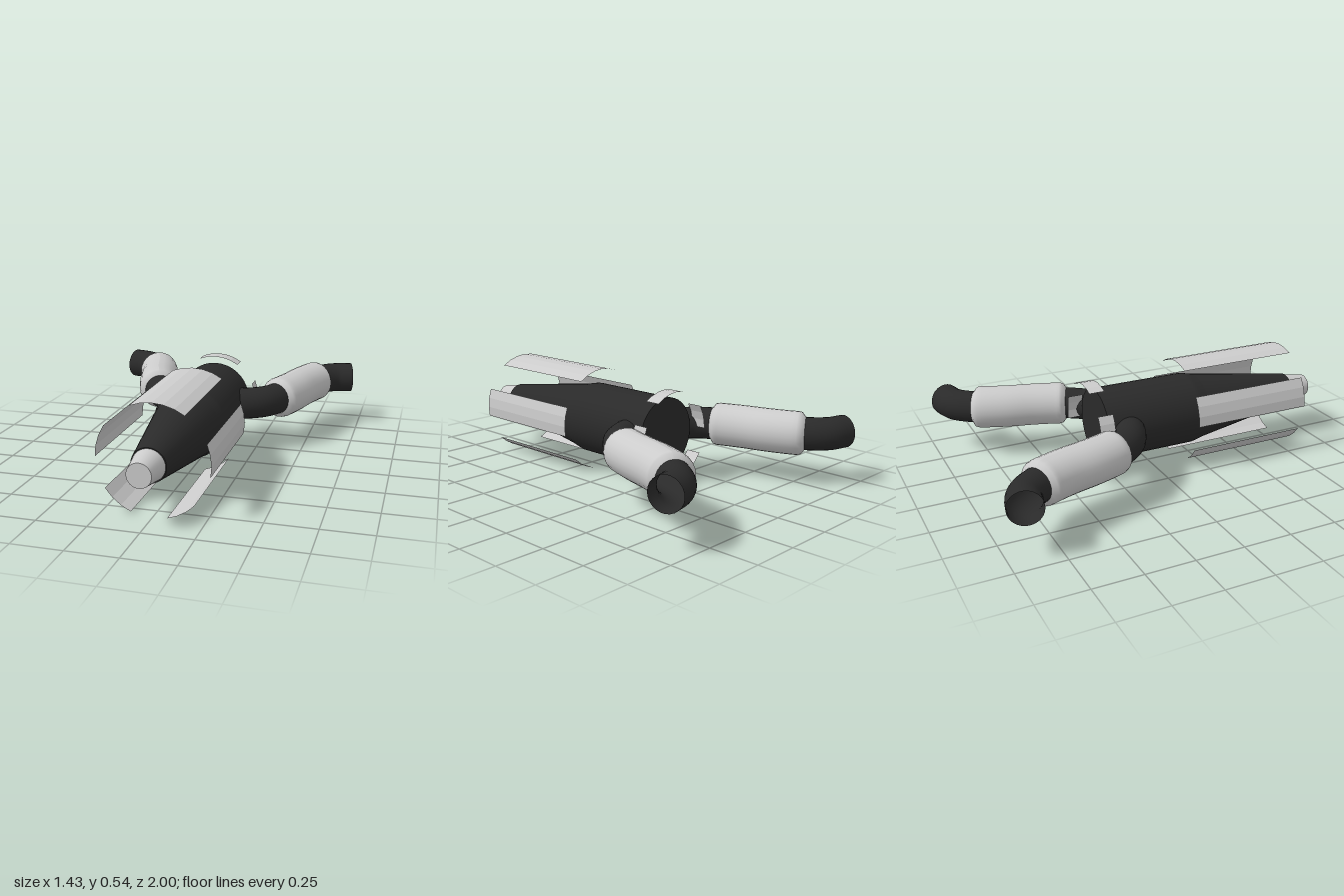
import * as THREE from 'three';

const AXIS_Y = 0.27;
const grey = new THREE.MeshStandardMaterial({ color: 0xcccccc });
const greySheet = new THREE.MeshStandardMaterial({ color: 0xcccccc, side: THREE.DoubleSide, flatShading: true });
const dark = new THREE.MeshStandardMaterial({ color: 0x2a2a2a });
const darkPipe = new THREE.MeshStandardMaterial({ color: 0x2a2a2a, side: THREE.DoubleSide });

function mesh(name, geometry, material) {
  const m = new THREE.Mesh(geometry, material);
  m.name = name;
  return m;
}

// Solid of revolution along z; profile is [radius, z], doubled points keep edges sharp
function turned(profile) {
  const g = new THREE.LatheGeometry(profile.map(([r, z]) => new THREE.Vector2(r, z)), 36);
  return g.rotateX(Math.PI / 2);
}

// Curved thin sheet around the body axis, angles in degrees from +x towards +y
function sheet(radius, z0, z1, a0, a1) {
  const steps = Math.max(3, Math.round((a1 - a0) / 11));
  const g = new THREE.PlaneGeometry(1, 1, steps, 1);
  const p = g.attributes.position;
  for (let i = 0; i < p.count; i++) {
    const a = THREE.MathUtils.degToRad(a1 + (a0 - a1) * (p.getX(i) + 0.5));
    const z = p.getY(i) > 0 ? z0 : z1;
    p.setXYZ(i, radius * Math.cos(a), radius * Math.sin(a), z);
  }
  g.computeVertexNormals();
  return g;
}

// Broken ring of sheets: one wide piece on top, four narrow ones around
const SPANS = [[-10.5, 22.4], [56, 112.5], [146.5, 180], [213, 247], [284, 315]];
function sheetRing(name, radius, z0, z1) {
  const ring = new THREE.Group();
  ring.name = name;
  SPANS.forEach(([a0, a1], i) => ring.add(mesh(`${name}Panel${i + 1}`, sheet(radius, z0, z1, a0, a1), greySheet)));
  return ring;
}

// Bent pipe with a thicker sleeve round its middle
const PATH = [[0.04, -0.16], [0.18, -0.19], [0.28, -0.245], [0.34, -0.33], [0.397, -0.48],
  [0.445, -0.65], [0.51, -0.80], [0.59, -0.885], [0.69, -0.915]];
function arm(name, side) {
  const group = new THREE.Group();
  group.name = name;
  const path = new THREE.CatmullRomCurve3(PATH.map(([x, z]) => new THREE.Vector3(side * x, 0, z)));
  group.add(mesh('armPipe', new THREE.TubeGeometry(path, 48, 0.085, 24), darkPipe));

  const n = 28, sides = 24;
  const part = [];
  for (let i = 0; i <= 12; i++) part.push(path.getPoint((3 + (3 * i) / 12) / 8));
  const sleeveCurve = new THREE.CatmullRomCurve3(part);
  const g = new THREE.TubeGeometry(sleeveCurve, n, 0.113, sides);
  const p = g.attributes.position, v = new THREE.Vector3();
  // Draw the end rings in to form rounded lips
  for (let ring = 0; ring <= n; ring++) {
    const fromEnd = Math.min(ring, n - ring);
    const k = [0.76, 0.965][fromEnd] ?? 1;
    const c = sleeveCurve.getPointAt(ring / n);
    if (fromEnd === 1) c.lerp(sleeveCurve.getPointAt(ring === 1 ? 0 : 1), 0);
    for (let j = 0; j <= sides; j++) {
      const i = ring * (sides + 1) + j;
      v.fromBufferAttribute(p, i).sub(c).multiplyScalar(k).add(c);
      p.setXYZ(i, v.x, v.y, v.z);
    }
  }
  g.computeVertexNormals();
  group.add(mesh('armSleeve', g, grey));
  return group;
}

export function createModel() {
  const model = new THREE.Group();
  model.name = 'model';

  // Body: straight barrel, tapered nose, pale tip
  model.add(mesh('body', turned([[0, -0.3], [0.19, -0.3], [0.19, -0.3], [0.19, 0.215], [0.186, 0.24],
    [0.175, 0.285], [0.175, 0.285], [0.085, 0.87], [0.085, 0.87], [0, 0.87]]), dark));
  model.add(mesh('noseTip', turned([[0, 0.86], [0.08, 0.87], [0.08, 0.87], [0.059, 1], [0.059, 1], [0, 1]]), grey));

  // Floating shroud sheets around the nose and the tail
  model.add(sheetRing('noseShroud', 0.275, 0.165, 0.82));
  model.add(sheetRing('tailShroud', 0.23, -0.365, -0.283));

  // Arms sweeping out to the rear
  model.add(arm('leftArm', 1), arm('rightArm', -1));

  model.children.forEach((c) => { c.position.y = AXIS_Y; });
  return model;
}
